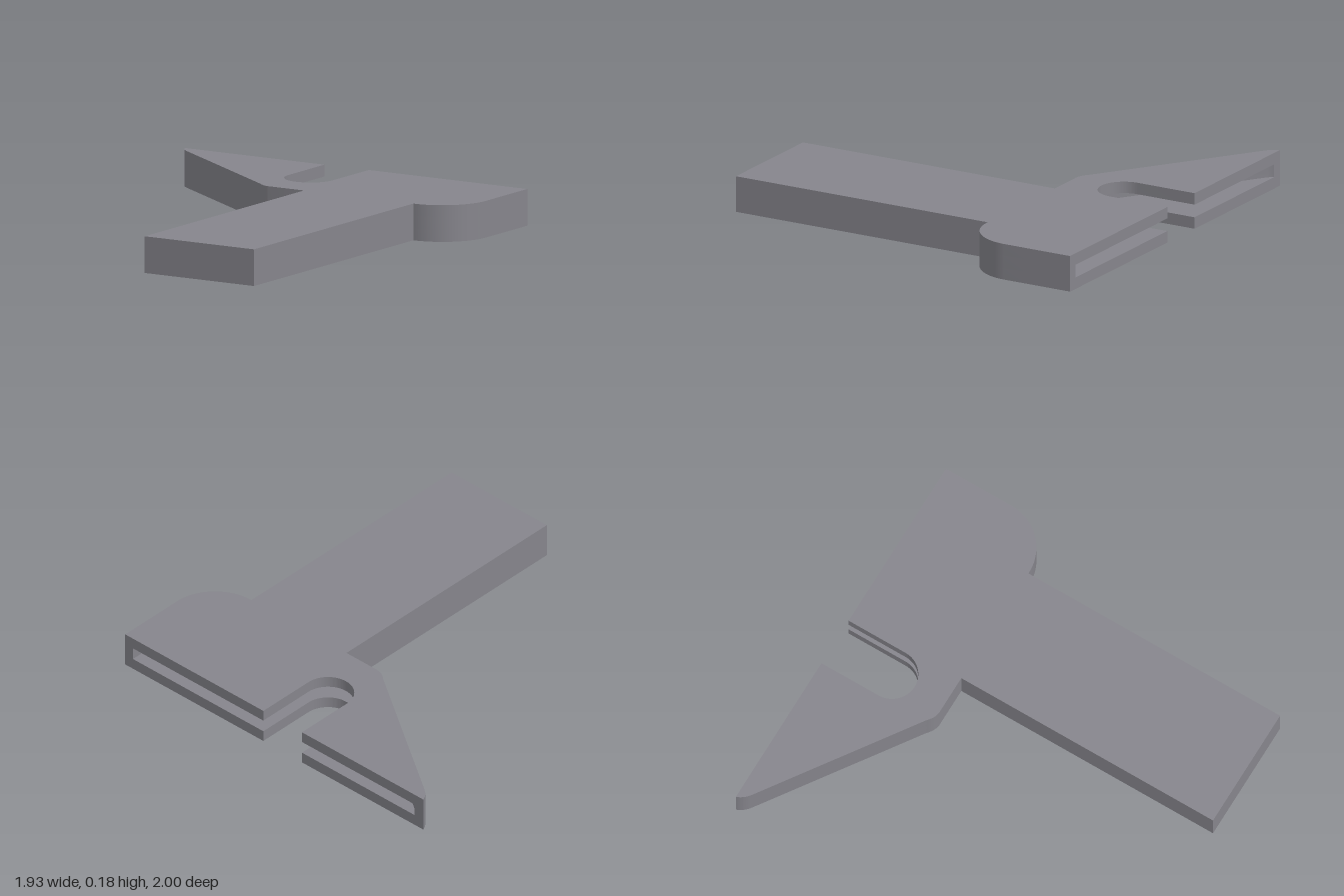
import * as THREE from 'three';
import { toCreasedNormals } from 'three/addons/utils/BufferGeometryUtils.js';

const HEIGHT = 0.177, PLATE = 0.057;

// Outer edge from the handle's end round to the right-angled back corner (shape y = -z)
function handleAndCorner() {
  const s = new THREE.Shape();
  s.moveTo(0.097, -1);
  s.lineTo(0.714, -1);
  s.lineTo(0.714, 0.393);
  s.lineTo(0.72, 0.393);
  s.absarc(0.72, 0.638, 0.245, -Math.PI / 2, 0, false);
  s.lineTo(0.965, 1);
  return s;
}

// Outer edge from the wing tip back to the handle
function wingEdge(s) {
  s.lineTo(-0.967, 1);
  s.quadraticCurveTo(-0.955, 0.965, -0.92, 0.94);
  s.lineTo(-0.17, 0.425);
  s.quadraticCurveTo(-0.135, 0.393, -0.1, 0.393);
  s.lineTo(0.097, 0.393);
  s.closePath();
  return s;
}

// Full outline with the round-ended slot
function plateShape() {
  const s = handleAndCorner();
  s.lineTo(0.07, 1);
  s.lineTo(0.07, 0.685);
  s.absarc(-0.055, 0.685, 0.125, 0, -Math.PI, true);
  s.lineTo(-0.18, 1);
  return wingEdge(s);
}

// Handle core plus the thin wall that encloses the head's cavity
function wallShape() {
  const s = handleAndCorner();
  s.lineTo(0.915, 1);
  s.lineTo(0.915, 0.638);
  s.absarc(0.72, 0.638, 0.195, 0, -Math.PI / 2, true);
  s.lineTo(-0.09, 0.443);
  s.quadraticCurveTo(-0.117, 0.443, -0.145, 0.461);
  s.lineTo(-0.895, 0.976);
  s.lineTo(-0.91, 1);
  return wingEdge(s);
}

function layer(name, shape, y, depth, material) {
  const flat = new THREE.ExtrudeGeometry(shape, { depth, bevelEnabled: false, curveSegments: 32 });
  flat.rotateX(-Math.PI / 2);
  const mesh = new THREE.Mesh(toCreasedNormals(flat, 0.5), material);
  mesh.position.y = y;
  mesh.name = name;
  return mesh;
}

export function createModel() {
  const group = new THREE.Group();
  group.name = 'slottedHolder';
  const material = new THREE.MeshStandardMaterial({ color: 0x86858c });
  group.add(
    layer('bottomPlate', plateShape(), 0, PLATE, material),
    layer('handleCoreAndWall', wallShape(), PLATE, HEIGHT - 2 * PLATE, material),
    layer('topPlate', plateShape(), HEIGHT - PLATE, PLATE, material)
  );
  return group;
}
